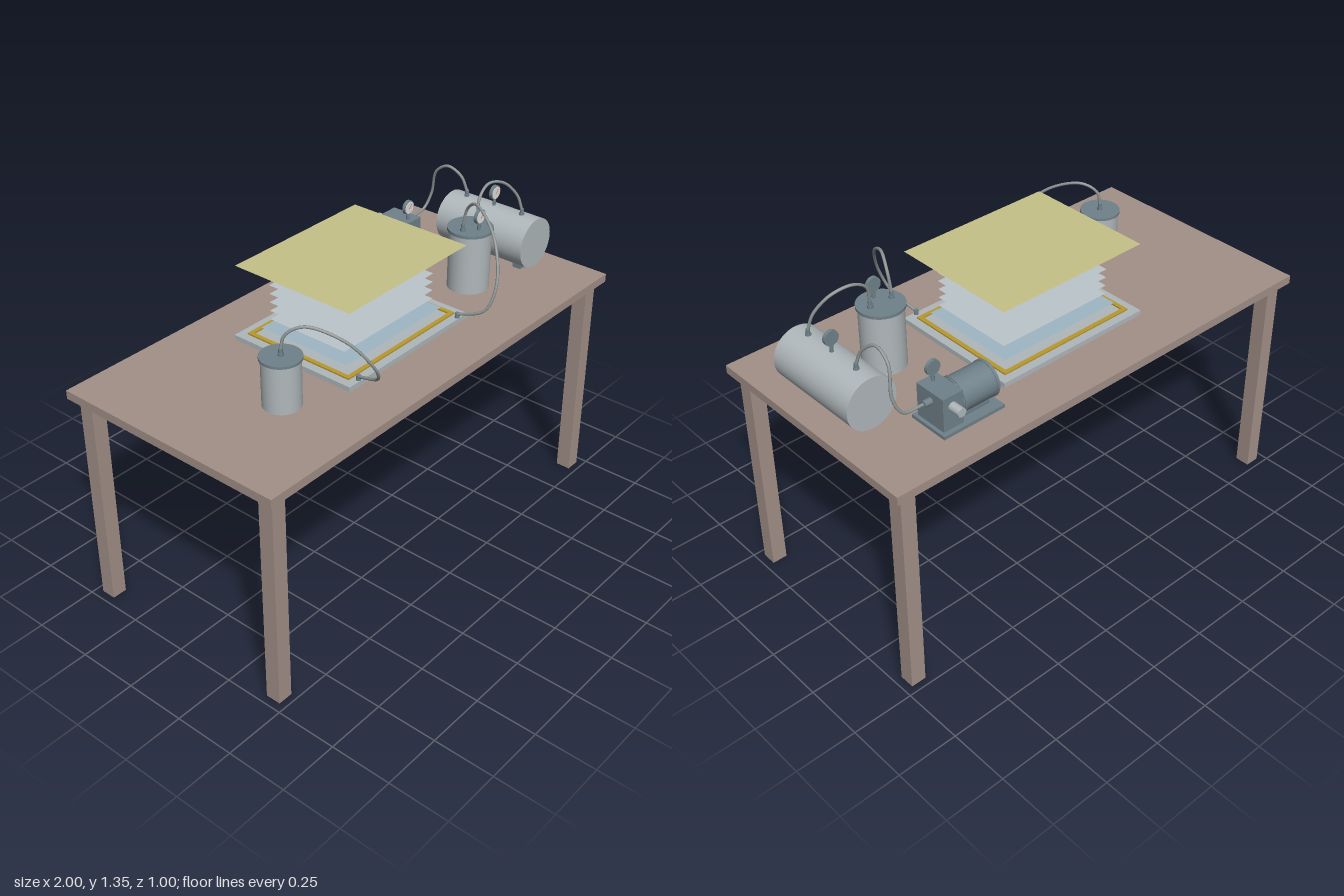
import * as THREE from 'three';

const mat = (name, color, side = THREE.FrontSide) => {
  const m = new THREE.MeshStandardMaterial({ color, side });
  m.name = name;
  return m;
};

export function createModel() {
  const wood = mat('wood', 0xa39088);
  const steel = mat('light steel', 0xb0b8bb);
  const dark = mat('dark steel', 0x70818a);
  const hoseMat = mat('hose grey', 0x8d9494);
  const faceMat = mat('dial white', 0xe2e0de);
  const yellow = mat('yellow film', 0xc6c188, THREE.DoubleSide);
  const red = mat('red film', 0xcc827c, THREE.DoubleSide);
  const blue = mat('blue film', 0x9fb6c5, THREE.DoubleSide);
  const pale = mat('pale cloth', 0xbcc6ca, THREE.DoubleSide);
  const gold = mat('gold sealant', 0xb8982f);

  const model = new THREE.Group();
  model.name = 'infusionBench';

  const add = (parent, name, geo, material, x = 0, y = 0, z = 0) => {
    const m = new THREE.Mesh(geo, material);
    m.name = name;
    m.position.set(x, y, z);
    parent.add(m);
    return m;
  };
  const box = (p, name, material, w, h, d, x, y, z) =>
    add(p, name, new THREE.BoxGeometry(w, h, d), material, x, y, z);
  // cylinder centred at a point, running along the given axis
  const cyl = (p, name, material, r, len, x, y, z, axis = 'y', seg = 32) => {
    const g = new THREE.CylinderGeometry(r, r, len, seg);
    if (axis === 'x') g.rotateZ(Math.PI / 2);
    if (axis === 'z') g.rotateX(Math.PI / 2);
    return add(p, name, g, material, x, y, z);
  };
  const group = (name) => {
    const g = new THREE.Group();
    g.name = name;
    model.add(g);
    return g;
  };
  const hose = (name, points) => {
    const curve = new THREE.CatmullRomCurve3(points.map((p) => new THREE.Vector3(...p)));
    add(model, name, new THREE.TubeGeometry(curve, 64, 0.006, 8), hoseMat);
  };
  // small fitting standing on a surface at height y
  const fitting = (p, x, y, z) => {
    cyl(p, 'fittingBase', dark, 0.011, 0.012, x, y + 0.006, z, 'y', 16);
    cyl(p, 'fittingNeck', dark, 0.008, 0.03, x, y + 0.015, z, 'y', 16);
  };
  // dial gauge on a short stem, facing the front
  const gauge = (p, x, y, z, base) => {
    cyl(p, 'gaugeStem', dark, 0.007, y - base, x, (y + base) / 2, z, 'y', 12);
    cyl(p, 'gaugeCase', dark, 0.03, 0.014, x, y, z, 'z');
    cyl(p, 'gaugeDial', faceMat, 0.026, 0.003, x, y, z + 0.0075, 'z');
    const n = box(p, 'gaugeNeedle', red, 0.003, 0.022, 0.002, x + 0.004, y + 0.005, z + 0.0095);
    n.rotation.z = -0.7;
  };

  // table
  const table = group('table');
  box(table, 'tableTop', wood, 2, 0.035, 1, 0, 0.9225, 0);
  for (const sx of [-1, 1])
    for (const sz of [-1, 1])
      box(table, 'tableLeg', wood, 0.062, 0.905, 0.062, sx * 0.936, 0.4525, sz * 0.44);

  // mould plate with a raised sealant frame
  const layup = group('layup');
  const cx = -0.005, cz = -0.005;
  box(layup, 'mouldPlate', steel, 0.7, 0.02, 0.57, cx, 0.95, cz);
  const rect = (path, w, h) => path.moveTo(-w, -h).lineTo(w, -h).lineTo(w, h).lineTo(-w, h).closePath();
  const frame = rect(new THREE.Shape(), 0.315, 0.25);
  frame.holes.push(rect(new THREE.Path(), 0.297, 0.232));
  const frameGeo = new THREE.ExtrudeGeometry(frame, { depth: 0.006, bevelEnabled: false });
  frameGeo.rotateX(-Math.PI / 2);
  add(layup, 'sealantFrame', frameGeo, gold, cx, 0.96, cz);

  // exploded stack of thin sheets
  const sheet = (name, material, w, d, y) => {
    const g = new THREE.PlaneGeometry(w, d);
    g.rotateX(-Math.PI / 2);
    add(layup, name, g, material, cx, y, cz);
  };
  sheet('releaseSheet', blue, 0.56, 0.42, 0.989);
  for (let i = 0; i < 5; i++) sheet('clothSheet', pale, 0.52, 0.365, 1.027 + i * 0.036);
  sheet('peelSheet', red, 0.54, 0.395, 1.205);
  sheet('coverFilm', yellow, 0.68, 0.55, 1.253);
  for (const x of [-0.295, 0.293]) cyl(layup, 'plateNozzle', dark, 0.009, 0.025, x, 0.968, 0.27, 'y', 16);

  // small supply pot
  const pot = group('supplyPot');
  cyl(pot, 'potBody', steel, 0.073, 0.19, -0.565, 1.035, 0.147, 'y', 48);
  cyl(pot, 'potLid', dark, 0.079, 0.01, -0.565, 1.135, 0.147, 'y', 48);
  fitting(pot, -0.565, 1.138, 0.147);

  // catch pot
  const trap = group('catchPot');
  cyl(trap, 'trapBody', steel, 0.085, 0.25, 0.562, 1.065, 0.123, 'y', 48);
  cyl(trap, 'trapLid', dark, 0.092, 0.012, 0.562, 1.194, 0.123, 'y', 48);
  fitting(trap, 0.512, 1.199, 0.123);
  fitting(trap, 0.608, 1.199, 0.123);
  gauge(trap, 0.56, 1.257, 0.165, 1.198);

  // vacuum tank lying along z
  const tank = group('vacuumTank');
  cyl(tank, 'tankBody', steel, 0.105, 0.425, 0.842, 1.06, 0.0375, 'z', 48);
  for (const z of [0.19, -0.11]) box(tank, 'tankFoot', dark, 0.07, 0.03, 0.038, 0.842, 0.955, z);
  fitting(tank, 0.842, 1.16, 0.175);
  fitting(tank, 0.842, 1.16, -0.1);
  gauge(tank, 0.842, 1.222, 0.038, 1.16);

  // pump: bed plate, motor and block
  const pump = group('vacuumPump');
  box(pump, 'pumpBase', dark, 0.275, 0.014, 0.175, 0.558, 0.947, -0.288);
  cyl(pump, 'motor', dark, 0.069, 0.165, 0.508, 1.026, -0.288, 'x', 40);
  for (const x of [0.432, 0.578]) cyl(pump, 'motorRing', dark, 0.072, 0.012, x, 1.026, -0.288, 'x', 40);
  box(pump, 'motorFoot', dark, 0.11, 0.03, 0.09, 0.508, 0.965, -0.288);
  box(pump, 'pumpBlock', dark, 0.09, 0.138, 0.14, 0.636, 1.022, -0.286);
  cyl(pump, 'exhaustStub', steel, 0.018, 0.055, 0.64, 1.047, -0.38, 'z', 24);
  cyl(pump, 'inletStub', dark, 0.014, 0.034, 0.696, 1.054, -0.29, 'x', 20);
  gauge(pump, 0.63, 1.145, -0.243, 1.088);

  // hoses
  hose('supplyHose', [
    [-0.565, 1.165, 0.147], [-0.553, 1.22, 0.158], [-0.51, 1.252, 0.21], [-0.43, 1.2, 0.33],
    [-0.36, 1.09, 0.398], [-0.32, 1.02, 0.38], [-0.297, 0.975, 0.275],
  ]);
  hose('drainHose', [
    [0.512, 1.225, 0.123], [0.512, 1.3, 0.14], [0.487, 1.344, 0.2], [0.43, 1.27, 0.325],
    [0.36, 1.12, 0.398], [0.318, 1.02, 0.38], [0.293, 0.975, 0.275],
  ]);
  hose('tankHose', [
    [0.608, 1.225, 0.123], [0.625, 1.295, 0.115], [0.69, 1.334, 0.11],
    [0.77, 1.315, 0.13], [0.825, 1.25, 0.16], [0.842, 1.185, 0.175],
  ]);
  hose('pumpHose', [
    [0.842, 1.185, -0.1], [0.83, 1.25, -0.125], [0.812, 1.285, -0.18], [0.812, 1.245, -0.24],
    [0.83, 1.13, -0.275], [0.8, 1.065, -0.29], [0.71, 1.054, -0.29],
  ]);

  return model;
}
